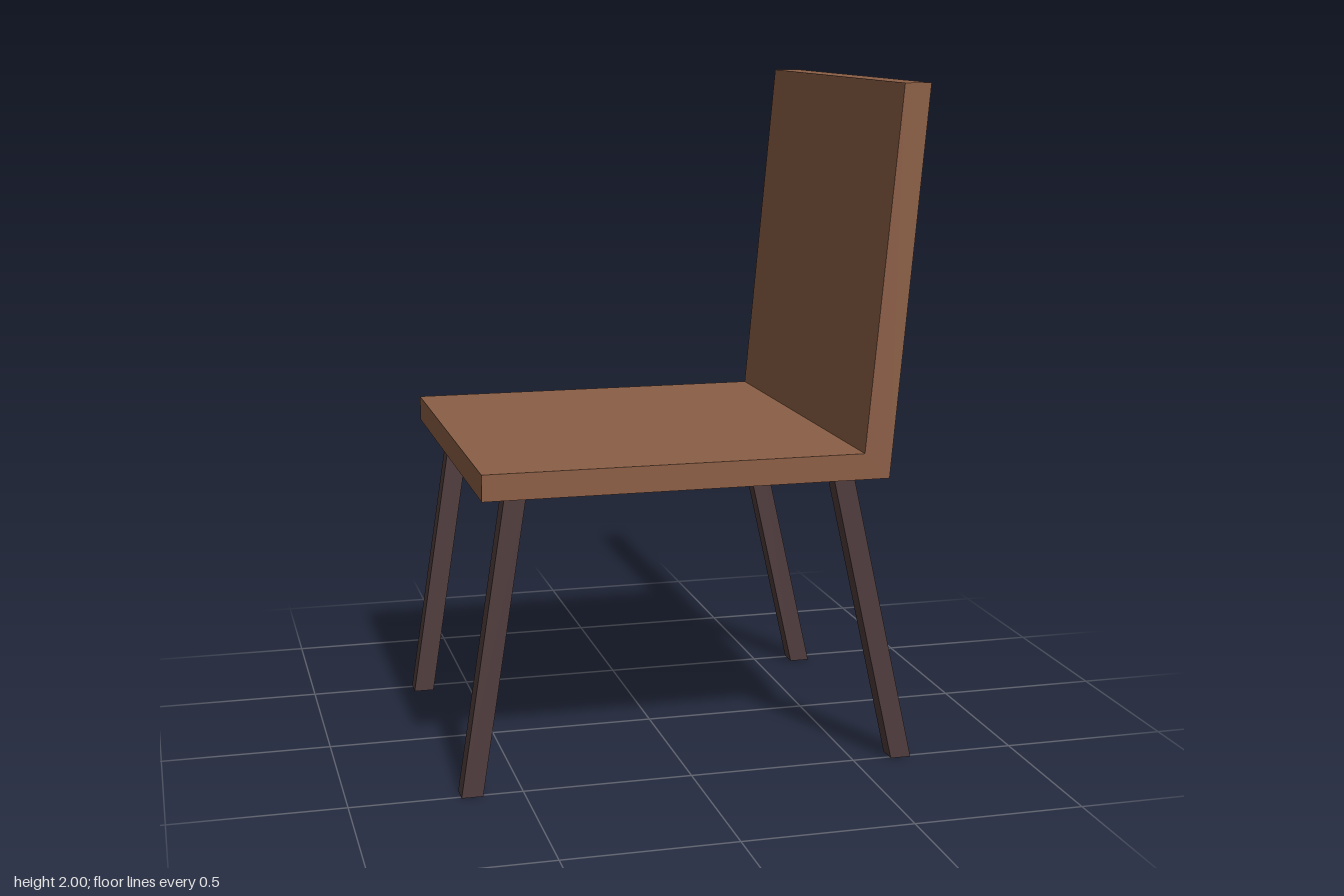
import * as THREE from 'three';

const wood = new THREE.MeshStandardMaterial({ color: 0x8b5e45, flatShading: true });
const darkWood = new THREE.MeshStandardMaterial({ color: 0x503c3d, flatShading: true });

// Extrudes a side outline of [x, y] points along z, centred on the given z
function extrudeProfile(name, points, width, z, material) {
  const shape = new THREE.Shape(points.map(([x, y]) => new THREE.Vector2(x, y)));
  const geometry = new THREE.ExtrudeGeometry(shape, { depth: width, bevelEnabled: false });
  geometry.translate(0, 0, -width / 2);
  const mesh = new THREE.Mesh(geometry, material);
  mesh.name = name;
  mesh.position.z = z;
  return mesh;
}

export function createModel() {
  const chair = new THREE.Group();
  chair.name = 'chair';

  // Seat and leaning backrest share one L-shaped outline
  chair.add(extrudeProfile('seatAndBackrest', [
    [-0.622, 0.88], [0.56, 0.88], [0.658, 2], [0.58, 2], [0.484, 0.956], [-0.622, 0.956],
  ], 1.18, 0, wood));

  // Splayed legs: [name, x at floor, x at seat], with level ends
  const seatBottom = 0.88, half = 0.031;
  const legs = [['frontLeg', -0.649, -0.513], ['backLeg', 0.646, 0.449]];
  for (const [name, foot, top] of legs) {
    for (const side of [-1, 1]) {
      chair.add(extrudeProfile(name + (side > 0 ? 'Left' : 'Right'), [
        [foot - half, 0], [foot + half, 0], [top + half, seatBottom], [top - half, seatBottom],
      ], 0.062, side * 0.48, darkWood));
    }
  }
  return chair;
}
